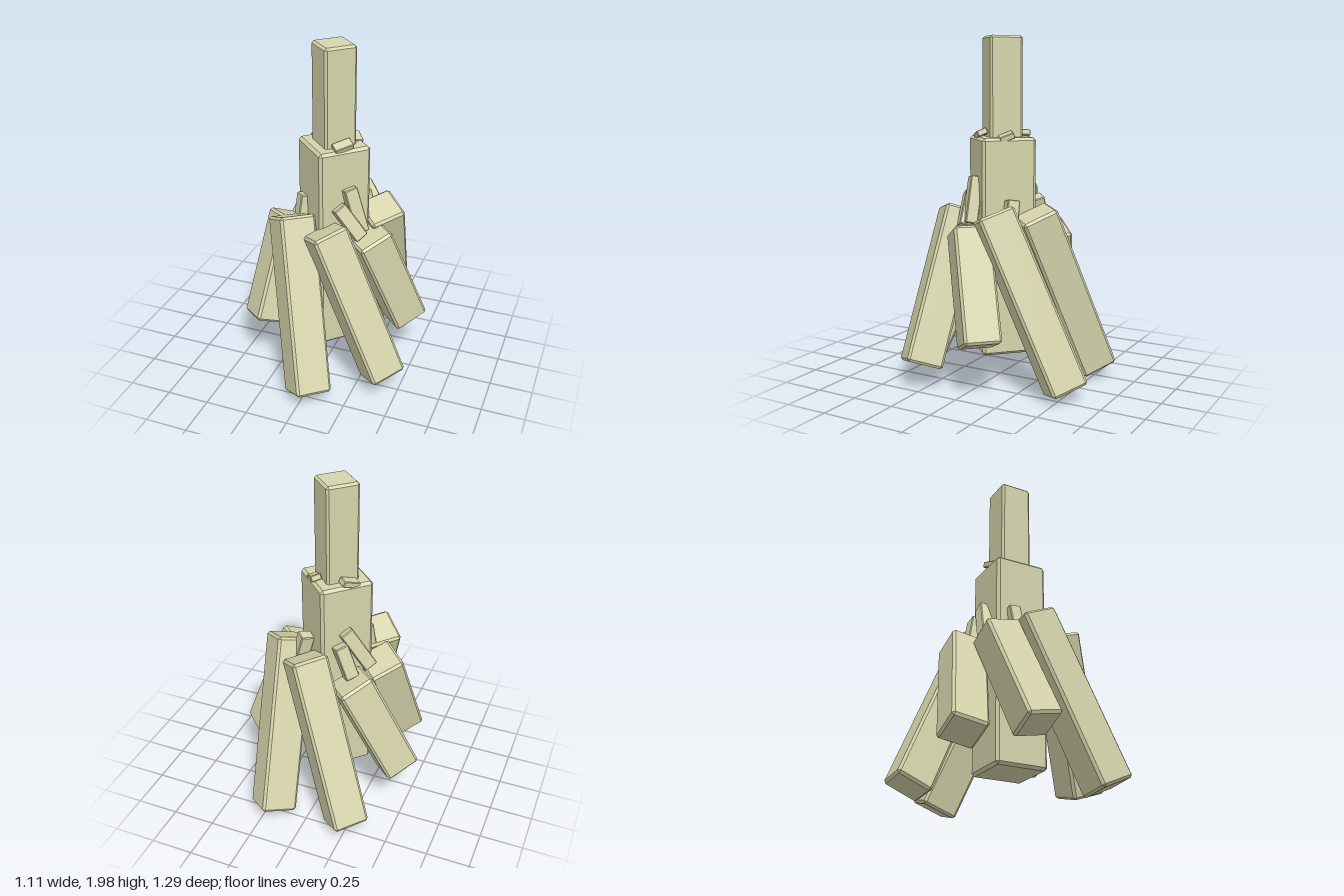
import * as THREE from 'three';
import { ConvexGeometry } from 'three/addons/geometries/ConvexGeometry.js';

const straw = new THREE.MeshStandardMaterial({ color: 0xd6d5ac });
straw.name = 'pale straw';

// Box with a single flat chamfer on every edge
function chamferBox(w, h, d, c) {
  const pts = [];
  for (const x of [-1, 1]) for (const y of [-1, 1]) for (const z of [-1, 1]) {
    const X = w / 2, Y = h / 2, Z = d / 2;
    pts.push(
      new THREE.Vector3(x * X, y * (Y - c), z * (Z - c)),
      new THREE.Vector3(x * (X - c), y * Y, z * (Z - c)),
      new THREE.Vector3(x * (X - c), y * (Y - c), z * Z));
  }
  return new ConvexGeometry(pts);
}

const UP = new THREE.Vector3(0, 1, 0);

// Square beam between two end centres, turned 45 degrees about its own axis
function beam(name, top, bottom, w, d, c) {
  const a = new THREE.Vector3(...top), b = new THREE.Vector3(...bottom);
  const axis = a.clone().sub(b);
  const mesh = new THREE.Mesh(chamferBox(w, axis.length(), d, c), straw);
  mesh.name = name;
  mesh.position.copy(a).add(b).multiplyScalar(0.5);
  mesh.quaternion.setFromUnitVectors(UP, axis.normalize())
    .multiply(new THREE.Quaternion().setFromAxisAngle(UP, Math.PI / 4));
  return mesh;
}

export function createModel() {
  const group = new THREE.Group();
  group.name = 'crystalCluster';

  // Central column and its narrower upper block
  group.add(beam('column', [0, 1.435, -0.0125], [0, 0.19, -0.0125], 0.312, 0.312, 0.016));
  group.add(beam('upperColumn', [0, 2, -0.0125], [0, 1.36, -0.0125], 0.19, 0.19, 0.013));

  // Ring of seven leaning blocks: top centre, bottom centre
  const leaning = [
    [[0.24, 0.925, 0.07], [0.425, 0.32, -0.11]],
    [[0.04, 1.0, 0.25], [0.415, 0.15, 0.285]],
    [[-0.19, 1.02, 0.17], [0.04, 0.085, 0.52]],
    [[-0.265, 0.93, -0.01], [-0.335, 0.335, 0.245]],
    [[-0.17, 0.9, -0.235], [-0.435, 0.3, -0.125]],
    [[0.09, 1.02, -0.27], [-0.255, 0.09, -0.495]],
    [[0.26, 1.025, -0.095], [0.2, 0.075, -0.525]],
  ];
  leaning.forEach(([t, b], i) => group.add(beam('leaningBlock' + (i + 1), t, b, 0.21, 0.21, 0.014)));

  // Small shards between the column and the ring
  const shards = [
    [[0.125, 1.21, 0.09], [0.2, 0.95, 0.085]],
    [[0.085, 1.11, 0.15], [0.21, 0.93, 0.12]],
    [[-0.15, 1.11, 0.05], [-0.17, 0.85, 0.1]],
    [[-0.1, 1.16, -0.14], [-0.23, 0.93, -0.08]],
    [[-0.09, 1.09, -0.19], [-0.16, 0.9, -0.19]],
    [[0.13, 1.09, -0.15], [0.19, 0.85, -0.16]],
  ];
  shards.forEach(([t, b], i) => group.add(beam('shard' + (i + 1), t, b, 0.08, 0.07, 0.005)));

  // Tiny tilted chips on the shoulder of the column
  const chips = [
    [[0.125, 1.465, 0.045], [0.045, 1.44, 0.115]],
    [[-0.075, 1.46, -0.125], [-0.135, 1.425, -0.045]],
    [[0.075, 1.455, -0.125], [0.125, 1.425, -0.065]],
  ];
  chips.forEach(([t, b], i) => {
    const chip = beam('chip' + (i + 1), t, b, 0.035, 0.06, 0.004);
    // Lay the flat side outward, facing up
    const y = new THREE.Vector3(...t).sub(new THREE.Vector3(...b)).normalize();
    const z = new THREE.Vector3(chip.position.x, 0.02, chip.position.z).cross(UP).cross(y).normalize();
    const x = y.clone().cross(z).normalize();
    chip.quaternion.setFromRotationMatrix(new THREE.Matrix4().makeBasis(x, y, x.clone().cross(y)));
    group.add(chip);
  });

  return group;
}
